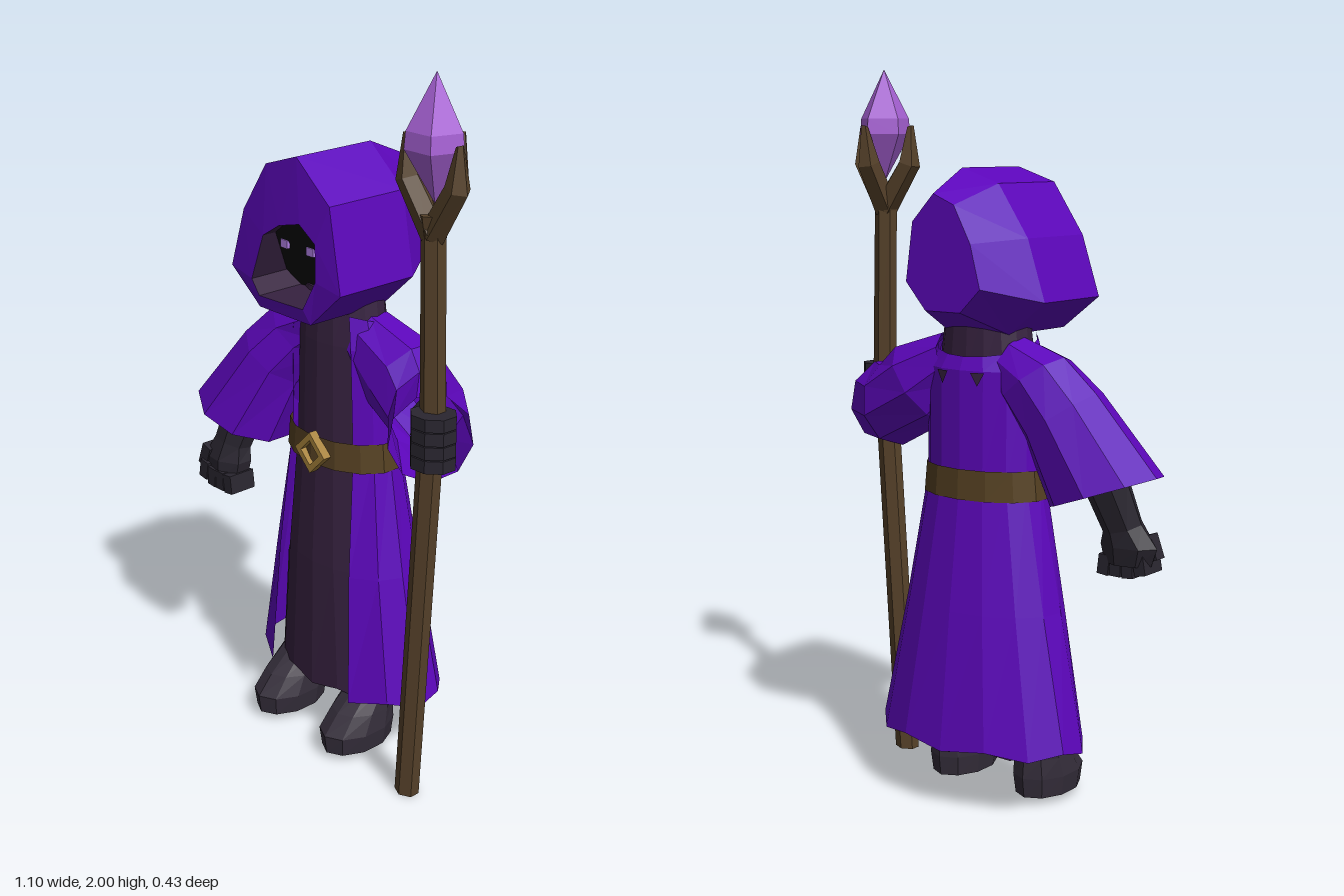
import * as THREE from 'three';

const mat = (name, color, side = THREE.FrontSide) => {
  const m = new THREE.MeshStandardMaterial({ color, side, flatShading: true });
  m.name = name;
  return m;
};
const V = (x, y, z) => new THREE.Vector3(x, y, z);

// Skin a row of rings into a faceted surface, with optional end caps
function loft(rings, { closed = true, capStart = false, capEnd = false } = {}) {
  const pts = [], n = rings[0].length;
  for (let k = 0; k < rings.length - 1; k++) {
    const a = rings[k], b = rings[k + 1];
    for (let i = 0; i < (closed ? n : n - 1); i++) {
      const j = (i + 1) % n;
      pts.push(a[i], a[j], b[j], a[i], b[j], b[i]);
    }
  }
  const cap = (ring, flip) => {
    const c = ring.reduce((s, p) => s.add(p), V(0, 0, 0)).divideScalar(n);
    ring.forEach((p, i) => {
      const q = ring[(i + 1) % n];
      pts.push(c, flip ? q : p, flip ? p : q);
    });
  };
  if (capStart) cap(rings[0], true);
  if (capEnd) cap(rings[rings.length - 1], false);
  const g = new THREE.BufferGeometry().setFromPoints(pts);
  g.computeVertexNormals();
  return g;
}

// Tube through sections: [centre, direction, radius, radius along z]
function limb(sections, sides, caps = true) {
  const rings = sections.map(([c, d, ru, rv = ru]) => {
    const n = V(...d).normalize();
    const v = V(0, 0, 1).addScaledVector(n, -n.z).normalize();
    const u = v.clone().cross(n);
    return Array.from({ length: sides }, (_, i) => {
      const t = ((i + 0.5) / sides) * Math.PI * 2;
      return V(...c).addScaledVector(u, ru * Math.cos(t)).addScaledVector(v, rv * Math.sin(t));
    });
  });
  return loft(rings, { capStart: caps, capEnd: caps });
}

const CX = -0.037; // body centre line

// Horizontal oval ring, open at the front when gap > 0
function oval(y, w, zc, d, gap, segs, wave = 0, cx = CX) {
  const t0 = gap ? Math.asin(gap / w) : 0;
  return Array.from({ length: gap ? segs + 1 : segs }, (_, i) => {
    const t = t0 + (i / segs) * (Math.PI * 2 - 2 * t0);
    return V(cx + w * Math.sin(t), y + wave * (i % 2), zc + d * Math.cos(t));
  });
}

export function createModel() {
  const root = new THREE.Group();
  root.name = 'hoodedMage';
  const two = THREE.DoubleSide;
  const cloth = mat('purple cloth', 0x5c06bb, two);
  const lining = mat('dark tunic', 0x372240, two);
  const glove = mat('glove', 0x2a2630);
  const boot = mat('boot', 0x342d3a);
  const wood = mat('wood', 0x57422a);
  const leather = mat('belt leather', 0x564122, two);
  const gold = mat('gold', 0xa8833c);
  const crystal = mat('crystal', 0xa862d6);
  const shade = mat('face shadow', 0x08080a);
  const glow = mat('eye', 0xac7ce0);

  const add = (name, geo, material, parent = root) => {
    const m = new THREE.Mesh(geo, material);
    m.name = name;
    parent.add(m);
    return m;
  };
  const box = (name, size, pos, material, rotZ = 0) => {
    const m = add(name, new THREE.BoxGeometry(...size), material);
    m.position.set(...pos);
    m.rotation.z = rotZ;
  };

  // Tunic with a raised collar, and open coat whose neckline dips at the back
  add('tunic', loft([
    oval(0.158, 0.25, -0.025, 0.152, 0, 16, 0.018), oval(0.55, 0.2, -0.01, 0.132, 0, 16),
    oval(0.9, 0.158, 0, 0.103, 0, 16), oval(1.2, 0.145, 0, 0.098, 0, 16),
    oval(1.345, 0.125, 0, 0.09, 0, 16),
  ], { capEnd: true }), lining);
  const neckline = oval(0, 0.15, 0, 0.108, 0.105, 12).map((p) => V(p.x, 1.268 + 0.3 * p.z, p.z));
  add('coat', loft([
    oval(0.17, 0.322, -0.025, 0.188, 0.165, 12, 0.018), oval(0.55, 0.245, -0.012, 0.158, 0.145, 12),
    oval(0.9, 0.18, -0.005, 0.12, 0.125, 12), oval(1.2, 0.178, -0.006, 0.117, 0.117, 12), neckline,
  ], { closed: false }), cloth);

  // Small dark notches across the upper back
  for (const a of [-0.95, -0.32, 0.32, 0.95]) {
    const t = Math.PI + a;
    const notch = add('backNotch', new THREE.CircleGeometry(0.024, 3, -Math.PI / 2), lining);
    notch.position.set(CX + 0.184 * Math.sin(t), 1.185, -0.006 + 0.124 * Math.cos(t));
    notch.rotation.y = Math.atan2(Math.sin(t) / 0.18, Math.cos(t) / 0.117);
  }

  // Belt with a diamond buckle
  add('belt', loft([
    oval(0.853, 0.193, -0.005, 0.13, 0, 14), oval(0.935, 0.185, -0.005, 0.126, 0, 14),
  ]), leather);
  const diamond = (C, r) => new C([[0, -r], [r, 0], [0, r], [-r, 0]].map((p) => new THREE.Vector2(...p)));
  const frame = diamond(THREE.Shape, 0.06);
  frame.holes.push(diamond(THREE.Path, 0.036));
  const buckle = add('buckle', new THREE.ExtrudeGeometry(frame, { depth: 0.025, bevelEnabled: false }), gold);
  buckle.position.set(-0.025, 0.89, 0.114);

  // Hood: front rim, shell and tapered back
  const outer = [[0.01, 1.73], [0.135, 1.625], [0.175, 1.4], [0.06, 1.295], [-0.145, 1.295], [-0.26, 1.385], [-0.205, 1.55], [-0.11, 1.69]];
  const opening = [[0.03, 1.56], [0.09, 1.52], [0.09, 1.42], [0.04, 1.335], [-0.135, 1.33], [-0.165, 1.37], [-0.115, 1.5], [-0.05, 1.54]];
  const flat = (list, z, sx = 1, sy = 1) =>
    list.map(([x, y]) => V(CX + (x - CX) * sx, 1.515 + (y - 1.515) * sy, z));
  add('hood', loft([
    flat(opening, 0.213), flat(outer, 0.203), flat(outer, -0.05), flat(outer, -0.2, 0.56, 0.7),
  ], { capEnd: true }), cloth);

  // Shadowed face, sloping back towards the chin, with a dark wall around it
  const slope = (y) => 0.152 + (y - 1.47) * 0.6;
  add('hoodLining', loft([opening.map(([x, y]) => V(x, y, slope(y))), flat(opening, 0.213)]), lining);
  const faceGeo = new THREE.ShapeGeometry(new THREE.Shape(opening.map((p) => new THREE.Vector2(...p))));
  const fp = faceGeo.attributes.position;
  for (let i = 0; i < fp.count; i++) fp.setZ(i, slope(fp.getY(i)));
  faceGeo.computeVertexNormals();
  add('faceShadow', faceGeo, shade);
  for (const x of [-0.09, 0.012]) box('eye', [0.027, 0.022, 0.009], [x, 1.472, 0.159], glow);

  // Right sleeve, forearm and lowered fist
  add('rightSleeve', limb([
    [[-0.13, 1.215, -0.01], [-0.9, -0.35, 0], 0.08],
    [[-0.205, 1.175, -0.01], [-0.6, -0.8, 0], 0.112, 0.1],
    [[-0.28, 1.085, 0.01], [-0.55, -0.83, 0.1], 0.122, 0.12],
    [[-0.395, 0.888, 0.045], [-0.325, -0.945, 0], 0.163, 0.15],
  ], 9, false), cloth);
  add('rightForearm', limb([
    [[-0.33, 1.02, 0.03], [-0.3, -0.9, 0.2], 0.055],
    [[-0.39, 0.9, 0.06], [-0.3, -0.9, 0.2], 0.062],
    [[-0.42, 0.79, 0.09], [-0.2, -0.95, 0.2], 0.058, 0.05],
    [[-0.435, 0.74, 0.1], [0, -1, 0], 0.085, 0.055],
    [[-0.43, 0.69, 0.105], [0, -1, 0], 0.07, 0.05],
  ], 7), glove);
  for (let i = 0; i < 4; i++)
    box('rightFinger', [0.034, 0.055, 0.085], [-0.48 + i * 0.037, 0.695 - (i > 0) * 0.012, 0.115], glove, -0.18 + i * 0.1);
  box('rightThumb', [0.035, 0.07, 0.04], [-0.485, 0.735, 0.13], glove, -0.35);

  // Left sleeve, forearm and hand gripping the staff
  add('leftSleeve', limb([
    [[0.06, 1.21, -0.01], [0.9, -0.35, 0], 0.085],
    [[0.17, 1.14, -0.015], [0.75, -0.6, 0], 0.13, 0.105],
    [[0.28, 1.07, -0.005], [0.85, -0.15, 0.45], 0.12, 0.105],
    [[0.402, 1.055, 0.1], [0.82, 0, 0.57], 0.122, 0.112],
  ], 9, false), cloth);
  add('leftForearm', limb([
    [[0.3, 1.07, 0.01], [0.7, 0, 0.7], 0.045],
    [[0.4, 1.08, 0.1], [0.7, 0, 0.7], 0.05, 0.04],
    [[0.45, 1.085, 0.135], [0.7, 0, 0.7], 0.06, 0.035],
  ], 7), glove);
  for (let i = 0; i < 4; i++) {
    const finger = add('leftFinger', new THREE.CylinderGeometry(0.062, 0.062, 0.034, 8), glove);
    finger.position.set(0.457, 1.03 + i * 0.037, 0.147);
    finger.scale.z = 0.87;
    finger.rotation.y = Math.PI / 8;
  }

  // Boots
  for (const s of [-1, 1]) {
    const cx = CX - 0.007 + s * 0.146;
    const ring = (y, w, zc, d) => oval(y, w, zc, d, 0, 10, 0, cx);
    add(s < 0 ? 'rightBoot' : 'leftBoot', loft([
      ring(0.02, 0.075, 0.08, 0.115), ring(0.075, 0.083, 0.08, 0.122), ring(0.13, 0.076, 0.058, 0.095),
      ring(0.19, 0.064, 0.015, 0.068), ring(0.5, 0.062, 0, 0.06),
    ], { capStart: true, capEnd: true }), boot);
  }

  // Staff: slightly bent shaft, three prongs and a five-sided crystal
  const staff = new THREE.Group();
  staff.name = 'staff';
  root.add(staff);
  add('shaft', limb([
    [[0.367, 0, 0.135], [0, 1, 0], 0.037, 0.03], [[0.442, 1.15, 0.135], [0, 1, 0], 0.036, 0.03],
    [[0.434, 1.6, 0.135], [0, 1, 0], 0.033, 0.03], [[0.436, 1.66, 0.135], [0, 1, 0], 0.042],
  ], 6), wood, staff);
  for (const [dx, dz] of [[-1, 0.1], [1, 0.1], [0, -1]])
    add('prong', limb([
      [[0.436, 1.61, 0.135], [dx * 0.6, 0.8, dz * 0.6], 0.036],
      [[0.436 + dx * 0.083, 1.735, 0.135 + dz * 0.074], [dx * 0.3, 0.9, dz * 0.3], 0.033],
      [[0.436 + dx * 0.088, 1.84, 0.135 + dz * 0.088], [-dx * 0.3, 0.9, -dz * 0.3], 0.01],
    ], 5), wood, staff);
  const gem = add('crystal', new THREE.LatheGeometry(
    [[0, -0.155], [0.076, -0.022], [0.072, 0.022], [0, 0.16]].map((p) => new THREE.Vector2(...p)), 5, Math.PI), crystal, staff);
  gem.position.set(0.438, 1.84, 0.137);

  return root;
}
